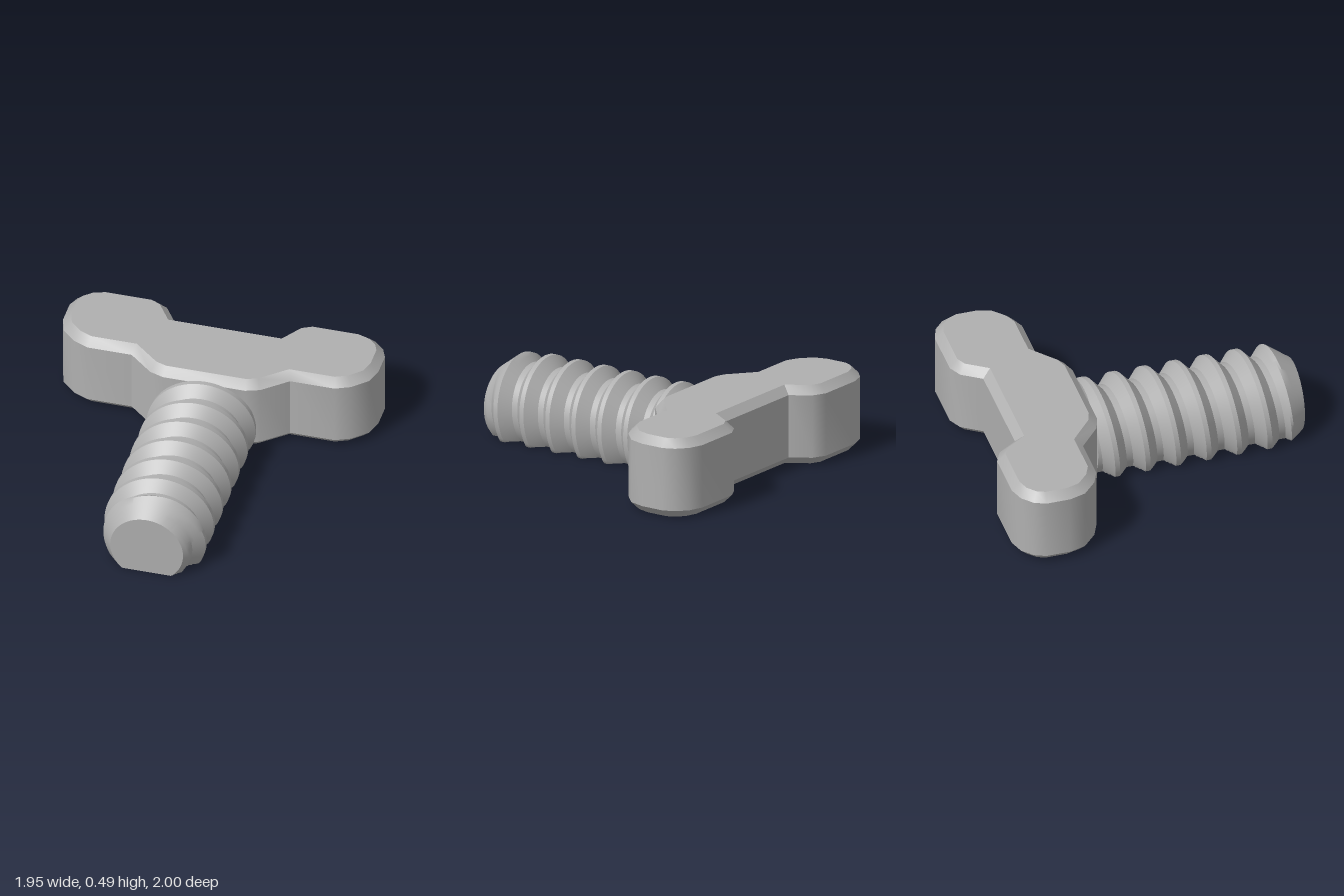
import * as THREE from 'three';
import { toCreasedNormals } from 'three/addons/utils/BufferGeometryUtils.js';

const CREASE = 0.6;
const metal = new THREE.MeshStandardMaterial({ color: 0xb0b0b0 });
metal.name = 'grey';

// Thumb grip: symmetric outline in plan, extruded upright with chamfered rims
function makeGrip() {
  const half = [
    [0.255, -0.305], [0.34, -0.335], [0.49, -0.465], [0.765, -0.465], [0.855, -0.505],
    [0.945, -0.59], [0.975, -0.69], [0.975, -0.84], [0.945, -0.91], [0.88, -0.97],
    [0.79, -1], [0.485, -1], [0.405, -0.96], [0.325, -0.84],
  ];
  const mirrored = half.map(([x, z]) => [-x, z]).reverse();
  const shape = new THREE.Shape([...half, ...mirrored].map(([x, z]) => new THREE.Vector2(x, z)));
  const geo = new THREE.ExtrudeGeometry(shape, {
    depth: 0.39, bevelThickness: 0.05, bevelSize: 0.05, bevelOffset: -0.05, bevelSegments: 1,
  });
  geo.rotateX(Math.PI / 2).translate(0, 0.44, 0);
  const mesh = new THREE.Mesh(toCreasedNormals(geo, CREASE), metal);
  mesh.name = 'thumbGrip';
  return mesh;
}

// Threaded shaft: helical rows, tapered tip, underside cut flat at y = 0
function makeShaft() {
  const axisY = 0.165, root = 0.26, crest = 0.325, pitch = 0.19;
  const zMin = -0.3, zMax = 1, tipRadius = 0.225, tipSlope = 0.73;
  const crestHalf = 0.015, flank = 0.06, segments = 128;
  const steps = [-0.075, -0.06, -0.045, -0.03, -0.015, 0.015, 0.03, 0.045, 0.06, 0.075];

  const crestZ = (a) => 0.6525 + (pitch * a) / (2 * Math.PI);
  function radius(z, a) {
    const turns = (z - crestZ(a)) / pitch;
    const d = Math.abs(turns - Math.round(turns)) * pitch;
    const t = THREE.MathUtils.clamp((d - crestHalf) / flank, 0, 1);
    let r = Math.min(crest + (root - crest) * t, tipRadius + (zMax - z) * tipSlope);
    if (Math.sin(a) < 0) r = Math.min(r, axisY / -Math.sin(a));
    return r;
  }

  const offsets = [];
  for (let k = -8; k <= 4; k++) for (const s of steps) offsets.push(k * pitch + s);
  const rows = offsets.length, cols = segments + 1;
  const pos = [], index = [];
  for (const off of offsets) {
    for (let j = 0; j < cols; j++) {
      const a = -Math.PI / 2 + (j / segments) * 2 * Math.PI;
      const z = THREE.MathUtils.clamp(crestZ(a) + off, zMin, zMax);
      const r = radius(z, a);
      pos.push(r * Math.cos(a), axisY + r * Math.sin(a), z);
    }
  }
  const apart = (p, q) => Math.abs(pos[p * 3 + 2] - pos[q * 3 + 2]) > 1e-6;
  for (let i = 0; i < rows - 1; i++) {
    for (let j = 0; j < segments; j++) {
      const a = i * cols + j, b = a + 1, c = b + cols, d = a + cols;
      if (apart(b, c)) index.push(a, b, c);
      if (apart(a, d)) index.push(a, c, d);
    }
  }
  // End caps
  const back = pos.length / 3, tip = back + 1, last = (rows - 1) * cols;
  pos.push(0, axisY, zMin, 0, axisY, zMax);
  for (let j = 0; j < segments; j++) {
    index.push(back, j + 1, j, tip, last + j, last + j + 1);
  }
  const geo = new THREE.BufferGeometry();
  geo.setAttribute('position', new THREE.Float32BufferAttribute(pos, 3));
  geo.setIndex(index);
  const mesh = new THREE.Mesh(toCreasedNormals(geo, CREASE), metal);
  mesh.name = 'threadedShaft';
  return mesh;
}

// Short neck bridging the shaft and the grip
function makeNeck() {
  const mesh = new THREE.Mesh(new THREE.BoxGeometry(0.4, 0.3, 0.04), metal);
  mesh.position.set(0, 0.2, -0.305);
  mesh.name = 'neck';
  return mesh;
}

export function createModel() {
  const group = new THREE.Group();
  group.name = 'thumbScrew';
  group.add(makeGrip(), makeShaft(), makeNeck());
  return group;
}
